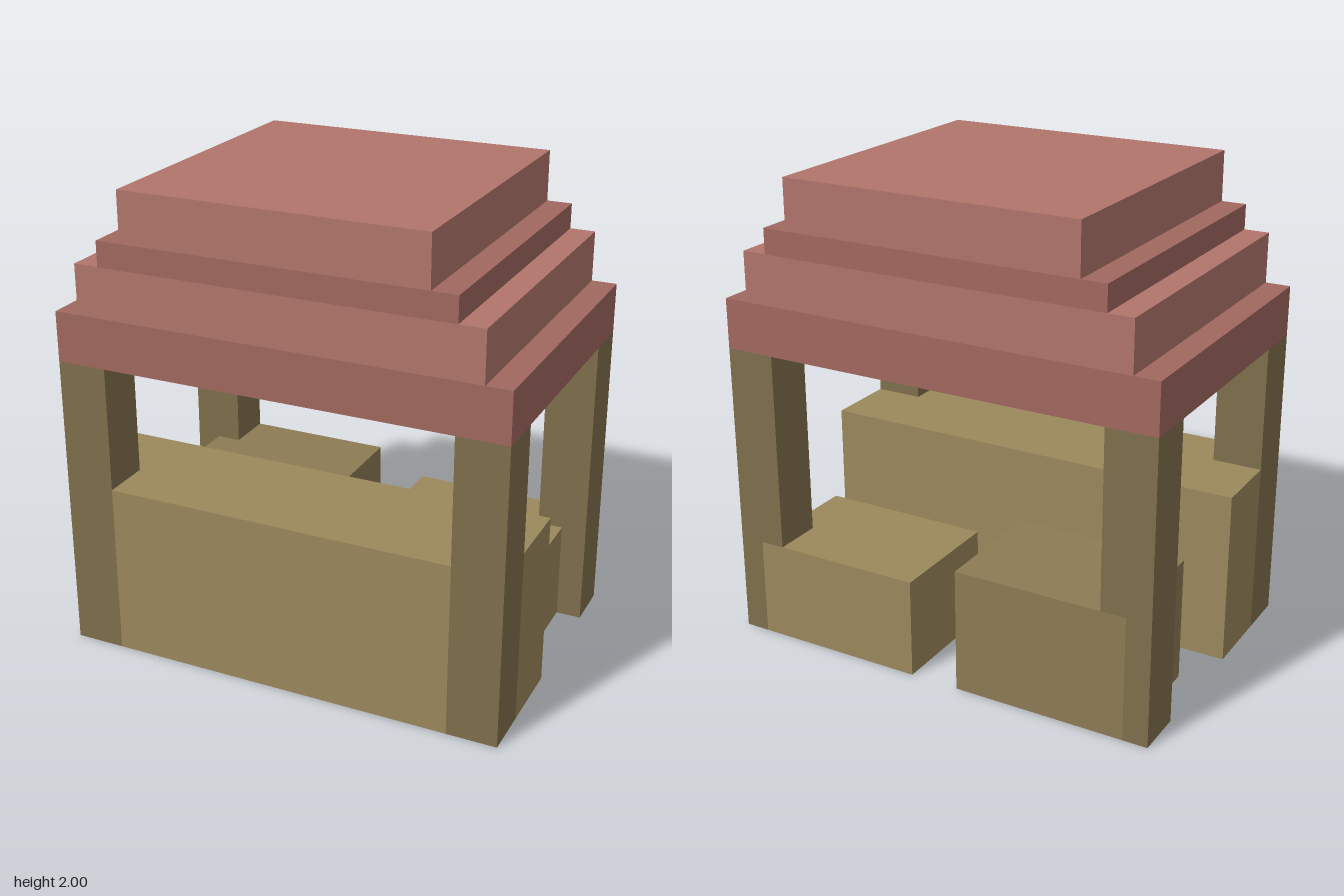
import * as THREE from 'three';

const U = 2 / 19; // the stall is laid out on a grid, 19 units tall

const paint = (color) => new THREE.MeshStandardMaterial({ color, flatShading: true });

export function createModel() {
  const group = new THREE.Group();
  const darkWood = paint(0x7f6f4b);
  const lightWood = paint(0x9b885c);
  const midWood = paint(0x8c7b53);
  const darkRed = paint(0xa0685f);
  const lightRed = paint(0xb0756b);

  // Box from its min and max corners in grid units
  function block(name, material, [x0, y0, z0], [x1, y1, z1], parent = group) {
    const geometry = new THREE.BoxGeometry((x1 - x0) * U, (y1 - y0) * U, (z1 - z0) * U);
    const mesh = new THREE.Mesh(geometry, material);
    mesh.position.set((x0 + x1) / 2 * U, (y0 + y1) / 2 * U, (z0 + z1) / 2 * U);
    mesh.name = name;
    parent.add(mesh);
  }

  // Stepped roof, narrowing only along x
  const roof = new THREE.Group();
  roof.name = 'roof';
  group.add(roof);
  [[9, 12, 14], [8, 14, 16], [7, 16, 17], [6, 17, 19]].forEach(([w, y0, y1], i) => {
    block(`roofStep${i + 1}`, i % 2 ? lightRed : darkRed, [-w, y0, -6], [w, y1, 6], roof);
  });

  // Front posts
  block('frontPostLeft', darkWood, [7, 0, 4], [9, 12, 6]);
  block('frontPostRight', darkWood, [-9, 0, 4], [-7, 12, 6]);

  // Back posts: narrow beside the crate, full width above it
  const backLeft = new THREE.Group();
  backLeft.name = 'backPostLeft';
  block('postFoot', darkWood, [8, 0, -6], [9, 4, -4], backLeft);
  block('postUpper', darkWood, [7, 4, -6], [9, 12, -4], backLeft);
  const backRight = new THREE.Group();
  backRight.name = 'backPostRight';
  block('postFoot', darkWood, [-9, 0, -6], [-8, 5, -4], backRight);
  block('postUpper', darkWood, [-9, 5, -6], [-7, 12, -4], backRight);
  group.add(backLeft, backRight);

  // Counter, notched around the front posts
  const plan = [[-7, -6], [7, -6], [7, -4], [9, -4], [9, -1], [-9, -1], [-9, -4], [-7, -4]];
  const shape = new THREE.Shape(plan.map(([x, y]) => new THREE.Vector2(x * U, y * U)));
  const counterGeometry = new THREE.ExtrudeGeometry(shape, { depth: 7 * U, bevelEnabled: false });
  counterGeometry.rotateX(-Math.PI / 2);
  const counter = new THREE.Mesh(counterGeometry, lightWood);
  counter.name = 'counter';
  group.add(counter);

  // Crates at the back, one lower than the other
  block('lowCrate', lightWood, [1, 0, -6], [8, 4, -1]);
  block('tallCrate', midWood, [-8, 0, -6], [-1, 5, -1]);

  return group;
}
